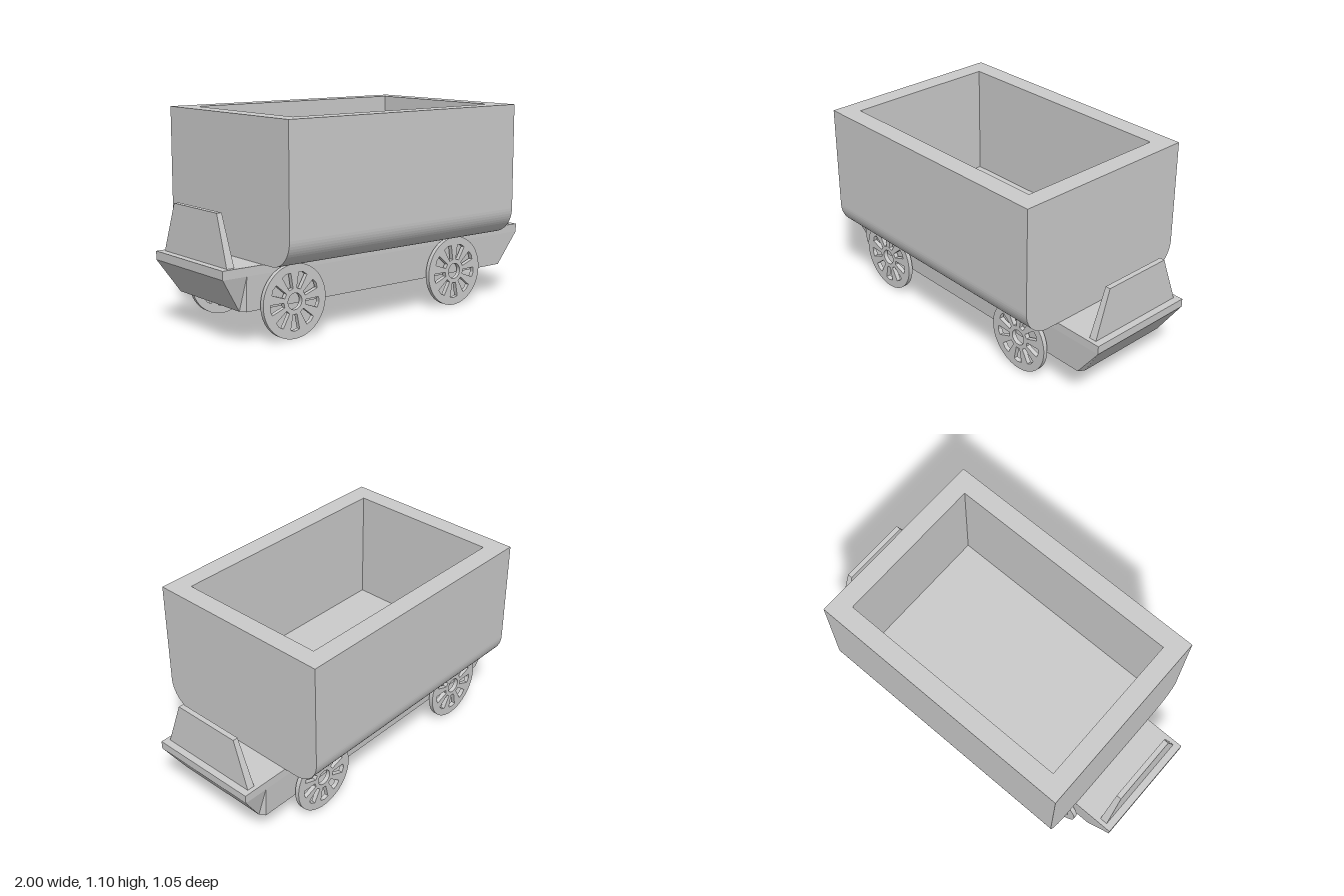
import * as THREE from 'three';

const material = new THREE.MeshStandardMaterial({ color: 0xcccccc, flatShading: true });

function addMesh(parent, name, geometry) {
  const mesh = new THREE.Mesh(geometry, material);
  mesh.name = name;
  parent.add(mesh);
  return mesh;
}

// Closed faceted solid from horizontal rings (bottom to top), each {y, pts: [x, z]}
// with points running counter-clockwise as seen from above.
function loft(rings) {
  const pos = [];
  const n = rings[0].pts.length;
  const vert = (r, i) => {
    const [x, z] = rings[r].pts[i % n];
    pos.push(x, rings[r].y, z);
  };
  const tri = (...corners) => corners.forEach(([r, i]) => vert(r, i));
  for (let r = 0; r < rings.length - 1; r++) {
    for (let i = 0; i < n; i++) {
      tri([r, i], [r, i + 1], [r + 1, i + 1]);
      tri([r, i], [r + 1, i + 1], [r + 1, i]);
    }
  }
  const top = rings.length - 1;
  for (let i = 1; i < n - 1; i++) {
    tri([top, 0], [top, i], [top, i + 1]);
    tri([0, 0], [0, i + 1], [0, i]);
  }
  const geometry = new THREE.BufferGeometry();
  geometry.setAttribute('position', new THREE.Float32BufferAttribute(pos, 3));
  geometry.computeVertexNormals();
  return geometry;
}

// Tub cross-section with rounded lower corners; hollow gives a U shape
function tubProfile(hollow) {
  const w = 0.523, y0 = 0.39, y1 = 1.1, r = 0.145, inner = 0.42, floor = 0.49;
  const s = new THREE.Shape();
  s.moveTo(-w, y1);
  s.lineTo(-w, y0 + r);
  s.absarc(-w + r, y0 + r, r, Math.PI, Math.PI * 1.5, false);
  s.lineTo(w - r, y0);
  s.absarc(w - r, y0 + r, r, Math.PI * 1.5, Math.PI * 2, false);
  s.lineTo(w, y1);
  if (hollow) {
    s.lineTo(inner, y1);
    s.lineTo(inner, floor);
    s.lineTo(-inner, floor);
    s.lineTo(-inner, y1);
  }
  s.closePath();
  return s;
}

function tubSection(xStart, xEnd, hollow) {
  const geometry = new THREE.ExtrudeGeometry(tubProfile(hollow), {
    depth: xEnd - xStart, bevelEnabled: false, curveSegments: 8,
  });
  return geometry.rotateY(Math.PI / 2).translate(xStart, 0, 0);
}

// Flat disc wheel with a hub hole and nine openings between the spokes
function wheelGeometry() {
  const thickness = 0.024, openings = 9;
  const shape = new THREE.Shape().absarc(0, 0, 0.189, 0, Math.PI * 2, false);
  shape.holes.push(new THREE.Path().absarc(0, 0, 0.042, 0, Math.PI * 2, true));
  for (let i = 0; i < openings; i++) {
    const a = -Math.PI / 2 + (i * Math.PI * 2) / openings;
    const corners = [[0.065, -0.012], [0.065, 0.012], [0.143, 0.027], [0.15, 0], [0.143, -0.027]];
    shape.holes.push(new THREE.Path(corners.map(([u, v]) => new THREE.Vector2(
      u * Math.cos(a) - v * Math.sin(a), u * Math.sin(a) + v * Math.cos(a)))));
  }
  return new THREE.ExtrudeGeometry(shape, {
    depth: thickness, bevelEnabled: false, curveSegments: 32,
  }).translate(0, 0, -thickness / 2);
}

// Eight-point chassis outline: narrow end corners plus side corners
const chassisRing = (y, endX, endZ, sideX, sideZ) => ({
  y,
  pts: [[endX, endZ], [endX, -endZ], [sideX, -sideZ], [-sideX, -sideZ],
    [-endX, -endZ], [-endX, endZ], [-sideX, sideZ], [sideX, sideZ]],
});

const rectRing = (y, x0, x1, z) => ({ y, pts: [[x1, z], [x1, -z], [x0, -z], [x0, z]] });

export function createModel() {
  const model = new THREE.Group();
  model.name = 'mineCart';

  // Chassis with undercut ends
  addMesh(model, 'chassis', loft([
    chassisRing(0.17, 0.885, 0.27, 0.865, 0.3),
    chassisRing(0.345, 1, 0.308, 0.865, 0.308),
    chassisRing(0.39, 1, 0.308, 0.865, 0.308),
  ]));

  // Open tub: U-shaped middle between two solid end walls
  const tub = new THREE.Group();
  tub.name = 'tub';
  model.add(tub);
  addMesh(tub, 'tubBody', tubSection(-0.67, 0.63, true));
  addMesh(tub, 'tubRightWall', tubSection(-0.77, -0.67, false));
  addMesh(tub, 'tubLeftWall', tubSection(0.63, 0.73, false));

  // Tapered upright plate at each end
  const plate = loft([rectRing(0.39, -0.021, 0.021, 0.285), rectRing(0.645, -0.014, 0.014, 0.195)]);
  for (const [side, x] of [['left', 0.941], ['right', -0.941]]) {
    addMesh(model, side + 'EndPlate', plate).position.x = x;
  }

  // Four wheels
  const wheel = wheelGeometry();
  for (const [side, x] of [['Left', 0.478], ['Right', -0.605]]) {
    for (const [end, z] of [['front', 0.327], ['back', -0.323]]) {
      addMesh(model, end + side + 'Wheel', wheel).position.set(x, 0.19, z);
    }
  }
  return model;
}
